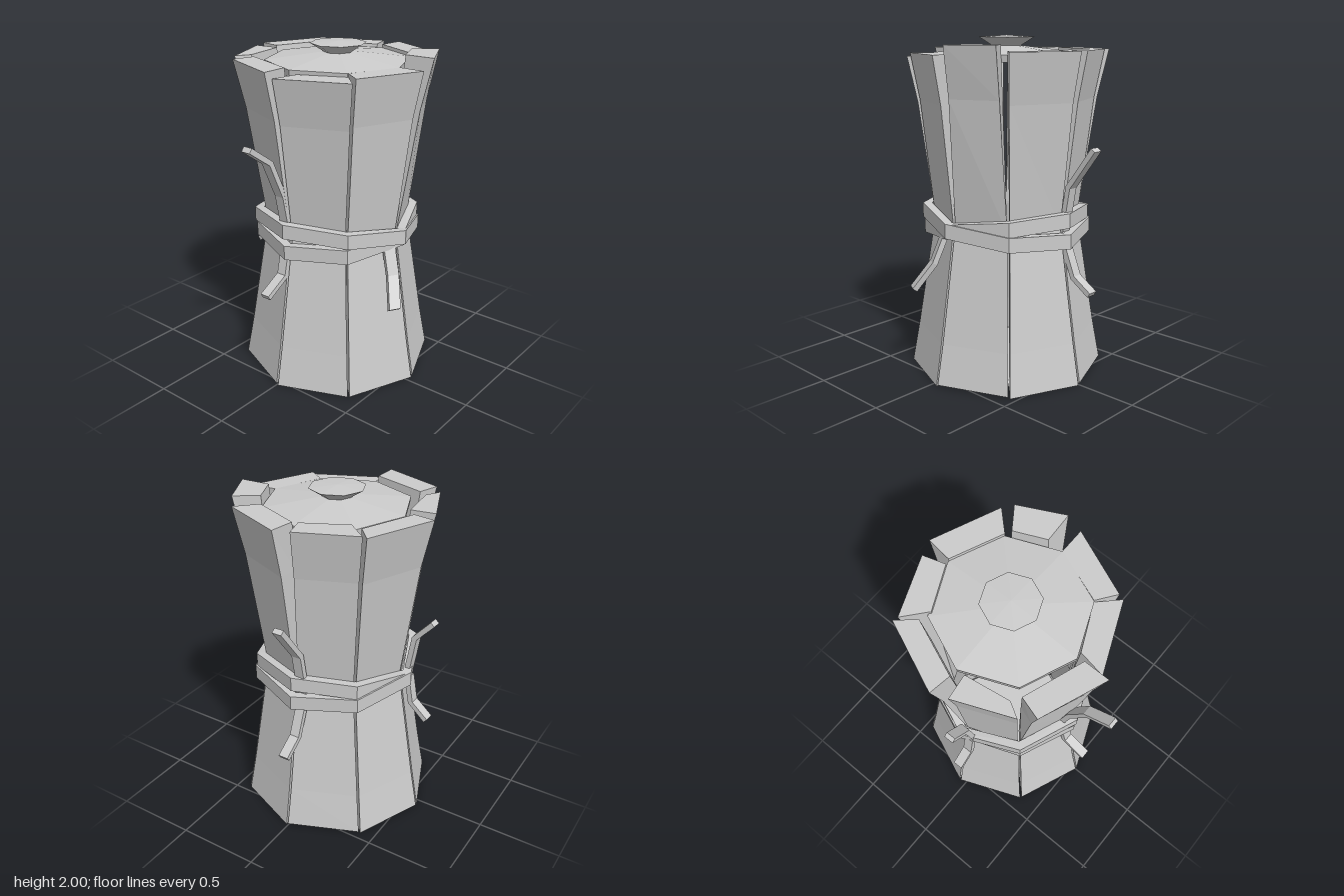
import * as THREE from 'three';

const CX = 0.045, CZ = 0.005; // axis of the barrel
const V = (x, y, z) => new THREE.Vector3(x, y, z);
const around = (k, r, y) => V(CX + r * Math.cos(k * Math.PI / 4), y, CZ + r * Math.sin(k * Math.PI / 4));

const material = new THREE.MeshStandardMaterial({ color: 0xcccccc, flatShading: true });

function addMesh(parent, name, geometry) {
  const mesh = new THREE.Mesh(geometry, material);
  mesh.name = name;
  parent.add(mesh);
  return mesh;
}

// Skin four-cornered rings; corners run clockwise seen from the last ring
function loft(rings, closed = false) {
  const out = [];
  const quad = (a, b, c, d) => [a, b, c, a, c, d].forEach(p => out.push(p.x, p.y, p.z));
  const n = rings.length;
  for (let r = 0; r < (closed ? n : n - 1); r++) {
    const lo = rings[r], hi = rings[(r + 1) % n];
    for (let i = 0; i < 4; i++) {
      const j = (i + 1) % 4;
      quad(lo[i], hi[i], hi[j], lo[j]);
    }
  }
  if (!closed) {
    quad(...rings[0]);
    quad(...[...rings[n - 1]].reverse());
  }
  const g = new THREE.BufferGeometry();
  g.setAttribute('position', new THREE.Float32BufferAttribute(out, 3));
  g.computeVertexNormals();
  return g;
}

// Cross-section of a stave between octagon corners k and k + 1
function staveRing(k, y, outer, inner, gap) {
  return [around(k + gap, outer, y), around(k + 1 - gap, outer, y),
    around(k + 1 - gap, inner, y), around(k + gap, inner, y)];
}

// Bent flat bar along a path, w is its half-width direction
function sprig(path, w, thick = 0.016) {
  const pts = path.map(p => V(...p));
  return loft(pts.map((p, i) => {
    const t = pts[Math.min(i + 1, pts.length - 1)].clone().sub(pts[Math.max(i - 1, 0)]).normalize();
    const n = t.cross(w).setLength(thick);
    return [[1, 1], [1, -1], [-1, -1], [-1, 1]].map(([a, b]) =>
      p.clone().addScaledVector(w, a).addScaledVector(n, b));
  }));
}

// Eight-sided tilted hoop
function band(radius, height, slope) {
  const rings = [];
  for (let k = 0; k < 8; k++) {
    const y = height + slope * Math.cos(k * Math.PI / 4) * radius;
    rings.push([[0, 1], [0, -1], [-0.055, -1], [-0.055, 1]].map(([dr, v]) =>
      around(k, radius + dr, y + v * 0.043)));
  }
  return loft(rings, true);
}

// Eight-sided turned part with corners on the axes
function turned(profile) {
  return new THREE.LatheGeometry(profile.map(p => new THREE.Vector2(...p)), 8).translate(CX, 0, CZ);
}

export function createModel() {
  const model = new THREE.Group();
  model.name = 'staveBarrel';

  // Lower staves, flaring down to the floor
  const lower = new THREE.Group();
  lower.name = 'lowerStaves';
  model.add(lower);
  for (let k = 0; k < 8; k++) {
    const foot = k % 3 === 1 ? 0.01 : 0;
    addMesh(lower, 'lowerStave', loft([
      staveRing(k, foot, 0.585, 0.44, 0.012),
      staveRing(k, 0.25, 0.54, 0.43, 0.015),
      staveRing(k, 0.93, 0.43, 0.36, 0.02),
    ]));
  }

  // Upper staves, uneven at the rim: [height, outer start, outer end, inner end, inner start] as x, z
  const rims = [
    [1.92, [0.62, 0.03], [0.455, 0.42], [0.34, 0.31], [0.47, 0.01]],
    [1.955, [0.40, 0.46], [0.14, 0.59], [0.13, 0.41], [0.31, 0.33]],
    [1.9, [0.05, 0.585], [-0.33, 0.42], [-0.25, 0.31], [0.05, 0.43]],
    [1.88, [-0.36, 0.42], [-0.53, 0.02], [-0.37, 0.05], [-0.25, 0.31]],
    [1.92, [-0.575, 0.01], [-0.43, -0.37], [-0.30, -0.33], [-0.42, 0.01]],
    [1.92, [-0.355, -0.43], [-0.03, -0.565], [-0.01, -0.42], [-0.27, -0.38]],
    [1.92, [0.06, -0.60], [0.46, -0.43], [0.36, -0.34], [0.04, -0.47]],
    [1.92, [0.45, -0.40], [0.59, -0.06], [0.46, -0.02], [0.34, -0.27]],
  ];
  const upper = new THREE.Group();
  upper.name = 'upperStaves';
  model.add(upper);
  rims.forEach(([y, ...corners], k) => {
    const waist = staveRing(k, 0.92, 0.43, 0.36, 0.02);
    const top = corners.map(([x, z]) => V(x, y, z));
    // the outer face bends slightly below the rim
    const bend = waist.map((p, i) => {
      const q = p.clone().lerp(top[i], 0.72);
      const s = i < 2 ? 0.97 : 0.99;
      return V(CX + (q.x - CX) * s, q.y, CZ + (q.z - CZ) * s);
    });
    addMesh(upper, 'upperStave', loft([waist, bend, top]));
  });

  // Base, lid and knob
  addMesh(model, 'base', turned([[0, 0.008], [0.44, 0.008], [0.42, 0.04], [0, 0.04]]));
  addMesh(model, 'lid', turned([[0, 1.86], [0.42, 1.86], [0.425, 1.9], [0, 1.95]]));
  addMesh(model, 'knob', turned([[0.07, 1.93], [0.1, 1.95], [0.163, 1.99], [0, 2]]));

  // Two crossed hoops at the waist
  addMesh(model, 'bandA', band(0.505, 0.917, -0.13));
  addMesh(model, 'bandB', band(0.495, 0.91, 0.125));

  // Loose sprigs tucked under the hoops
  const wz = V(0, 0, 0.03), wx = V(0.03, 0, 0);
  const sprigs = [
    ['leftUpperSprig', wz, [[0.47, 0.9, -0.03], [0.515, 1.16, -0.03], [0.685, 1.39, -0.03]]],
    ['leftLowerSprig', wz, [[0.475, 0.85, -0.03], [0.56, 0.64, -0.03], [0.68, 0.56, -0.03]]],
    ['rightUpperSprig', wz, [[-0.38, 0.95, -0.03], [-0.43, 1.19, -0.03], [-0.53, 1.41, -0.03], [-0.685, 1.52, -0.03]]],
    ['rightLowerSprig', wz, [[-0.39, 0.86, -0.03], [-0.43, 0.69, -0.03], [-0.58, 0.605, -0.03]]],
    ['backUpperSprig', wx, [[-0.01, 0.94, -0.455], [-0.01, 1.17, -0.495], [-0.01, 1.29, -0.605]]],
    ['backLowerSprig', wx, [[-0.01, 0.9, -0.46], [-0.01, 0.73, -0.49], [-0.01, 0.635, -0.595]]],
    ['frontLowerSprig', V(0.03, 0, 0.018), [[-0.03, 0.88, 0.44], [-0.065, 0.71, 0.5], [-0.155, 0.55, 0.58]]],
  ];
  for (const [name, w, path] of sprigs) addMesh(model, name, sprig(path, w));

  return model;
}
